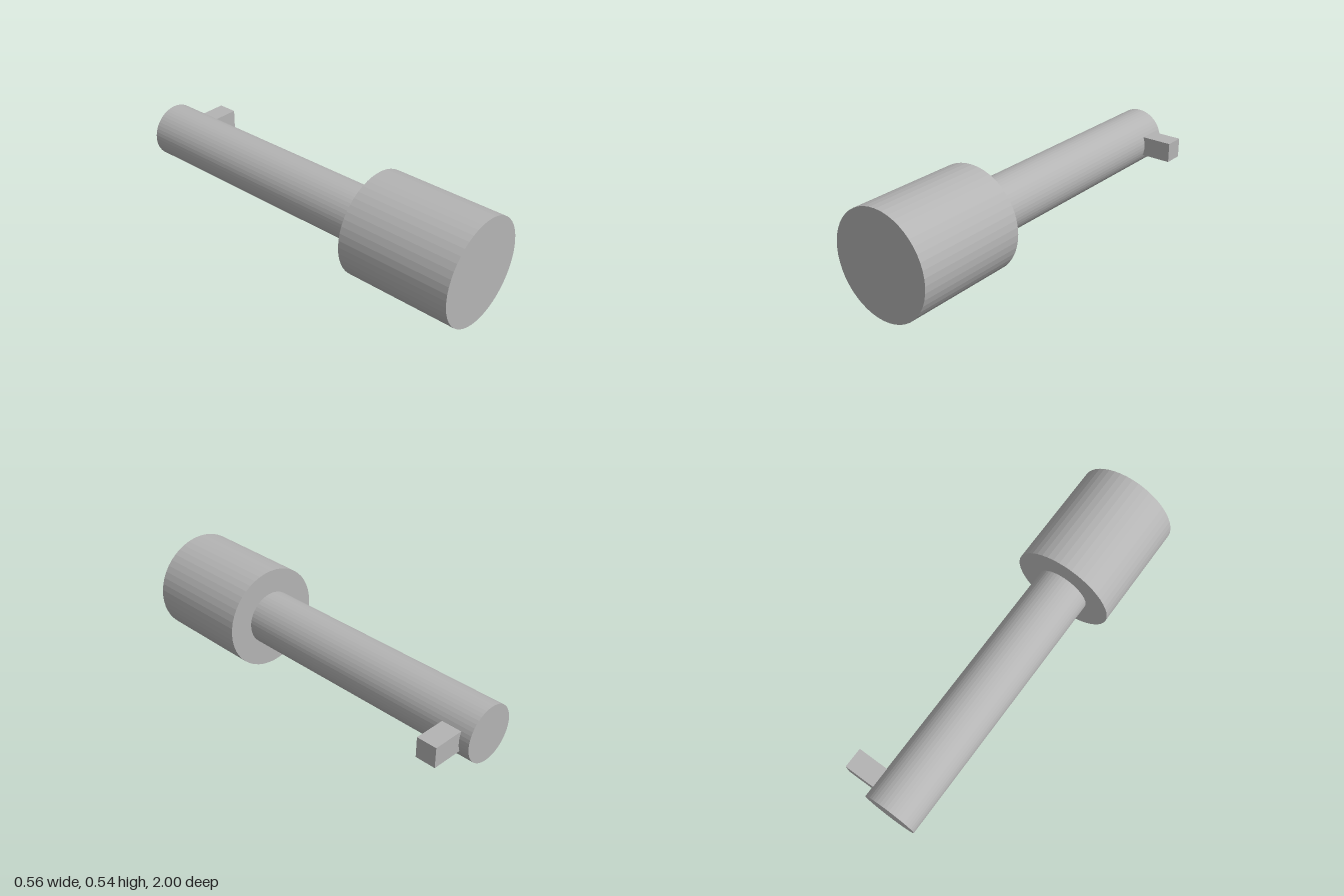
import * as THREE from 'three';

const AXIS_X = -0.014, AXIS_Y = 0.269;

export function createModel() {
  const model = new THREE.Group();
  const grey = new THREE.MeshStandardMaterial({ color: 0xb4b4b4, flatShading: true });
  grey.name = 'plain grey';

  // Solid cylinder lying along z between two depths
  function rod(name, radius, back, front) {
    const geometry = new THREE.CylinderGeometry(radius, radius, front - back, 48);
    geometry.rotateX(Math.PI / 2);
    const mesh = new THREE.Mesh(geometry, grey);
    mesh.name = name;
    mesh.position.set(AXIS_X, AXIS_Y, (front + back) / 2);
    model.add(mesh);
  }

  // Thick head at the front, slim shaft running to the back
  rod('head', 0.269, 0.41, 1);
  rod('shaft', 0.142, -1, 0.41);

  // Square peg on the left of the shaft, its root sunk into the curve
  const peg = new THREE.Mesh(new THREE.BoxGeometry(0.18, 0.105, 0.105), grey);
  peg.name = 'sidePeg';
  peg.position.set(0.192, 0.27, -0.895);
  model.add(peg);

  return model;
}
